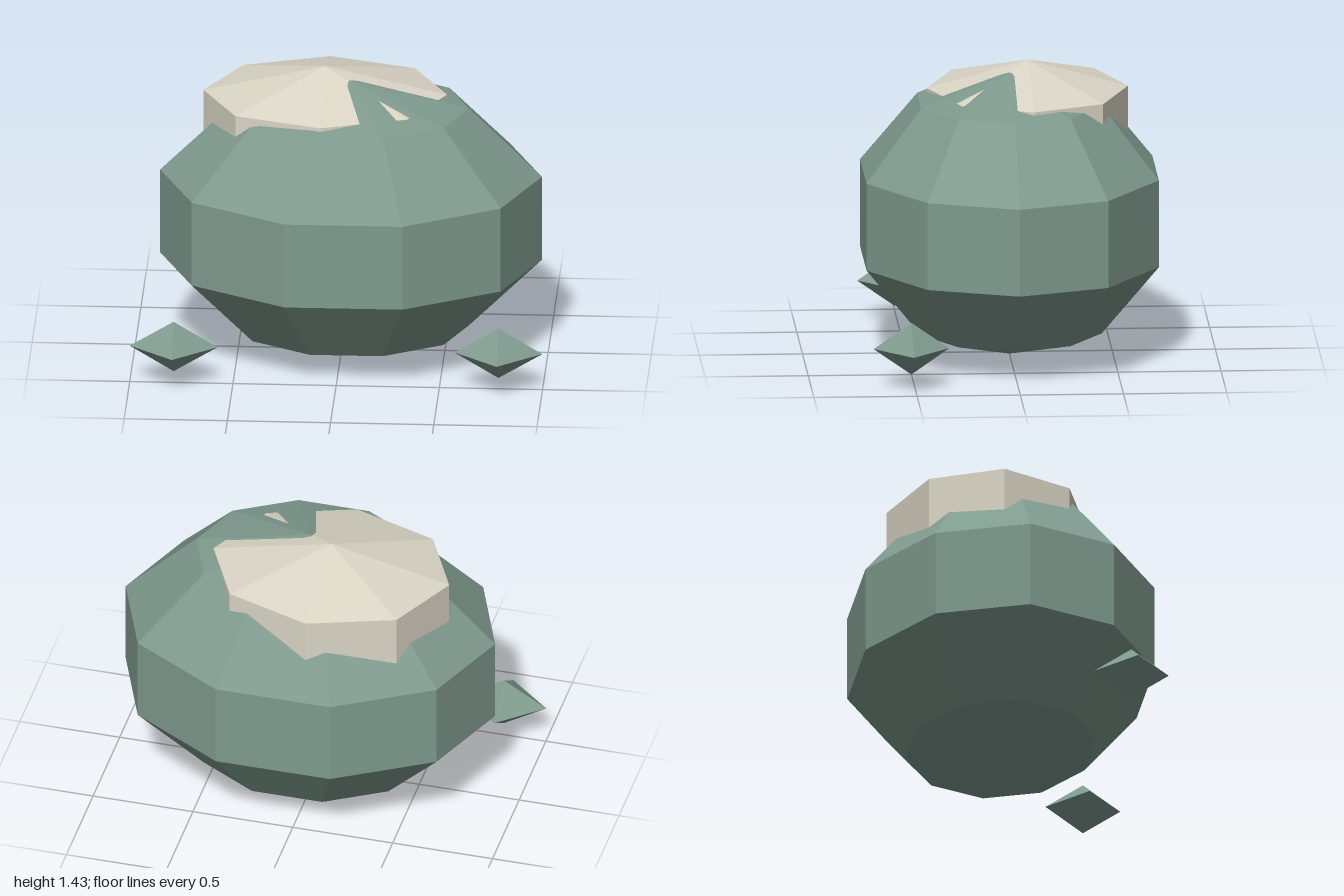
import * as THREE from 'three';

const sage = new THREE.MeshStandardMaterial({ color: 0x7f9a8e });
sage.name = 'sage green';
const cream = new THREE.MeshStandardMaterial({ color: 0xdad5c5 });
cream.name = 'cream';
sage.flatShading = cream.flatShading = true;

// Faceted ellipsoid with given segments, centre and radii
function ellipsoid(name, material, segments, rings, centre, radii) {
  const geometry = new THREE.SphereGeometry(1, segments, rings).toNonIndexed();
  geometry.scale(...radii);
  geometry.computeVertexNormals();
  const mesh = new THREE.Mesh(geometry, material);
  mesh.name = name;
  mesh.position.set(...centre);
  return mesh;
}

export function createModel() {
  const model = new THREE.Group();
  model.name = 'roundCreature';

  // Plump ten-sided body
  model.add(ellipsoid('body', sage, 10, 5, [0.045, 0.695, 0], [0.9725, 0.695, 0.783]));

  // Pale patch sunk into the top of the body
  const ringScale = 1 / Math.sin(Math.PI / 3);
  model.add(ellipsoid('topPatch', cream, 8, 3, [-0.085, 1.155, -0.094],
    [0.59 * ringScale, 0.271, 0.487 * ringScale]));

  // Diamond-shaped feet, floating at the front corners
  for (const [name, side, z] of [['leftFoot', 1, 0.516], ['rightFoot', -1, 0.509]]) {
    model.add(ellipsoid(name, sage, 4, 2, [side * 0.787, 0.19, z], [0.213, 0.128, 0.183]));
  }
  return model;
}
